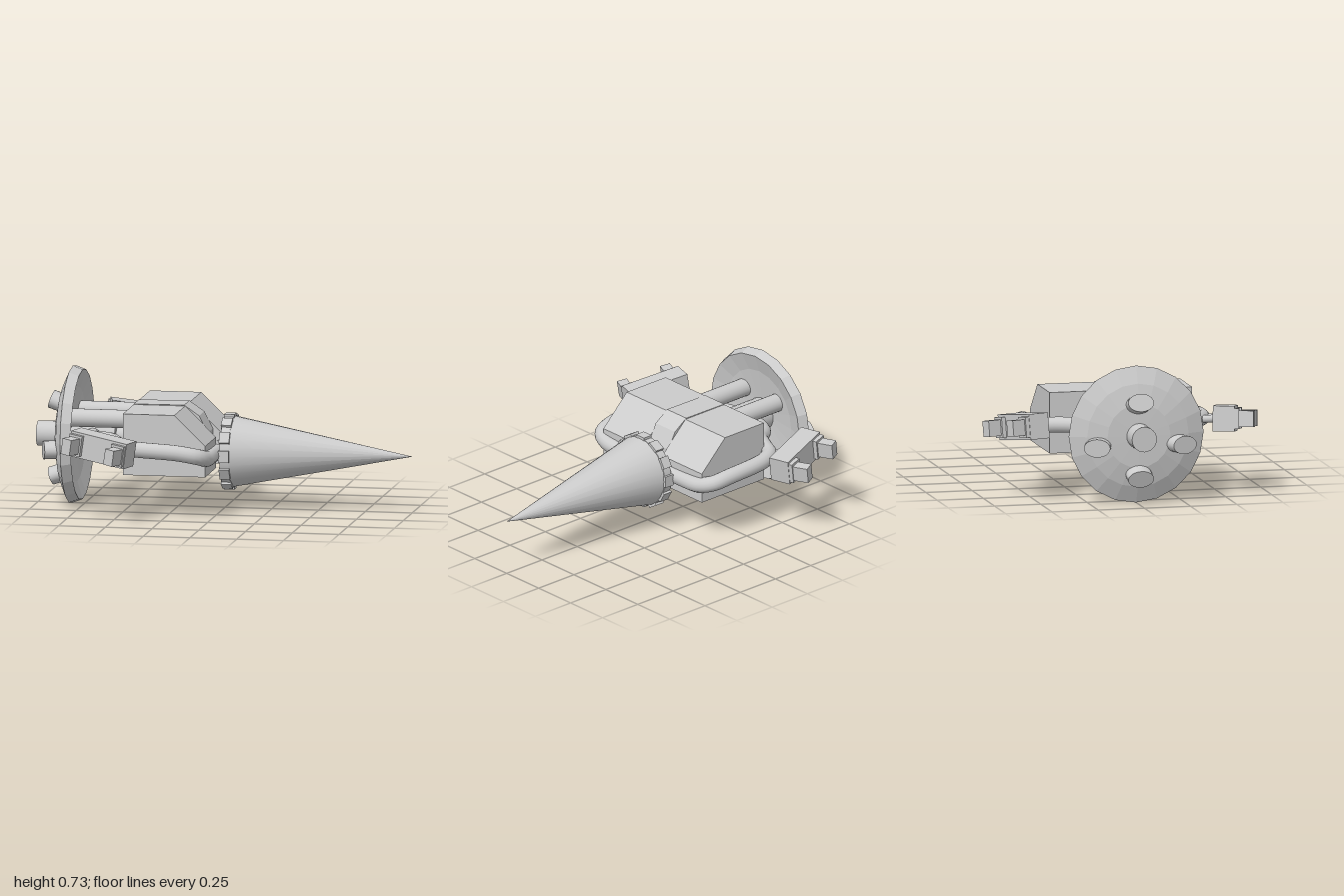
import * as THREE from 'three';

const smooth = new THREE.MeshStandardMaterial({ color: 0xcccccc });
const flat = new THREE.MeshStandardMaterial({ color: 0xcccccc, flatShading: true });

function add(parent, name, geometry, material = flat) {
  const mesh = new THREE.Mesh(geometry, material);
  mesh.name = name;
  parent.add(mesh);
  return mesh;
}

// Cylinder between two points
function rod(parent, name, a, b, r, rEnd = r) {
  const from = new THREE.Vector3(...a), to = new THREE.Vector3(...b);
  const dir = to.clone().sub(from);
  const mesh = add(parent, name, new THREE.CylinderGeometry(rEnd, r, dir.length(), 24), smooth);
  mesh.position.copy(from).add(to).multiplyScalar(0.5);
  mesh.quaternion.setFromUnitVectors(new THREE.Vector3(0, 1, 0), dir.normalize());
  return mesh;
}

// Side profile in x/y extruded from z0 to z1
function slab(parent, name, points, z0, z1) {
  const shape = new THREE.Shape(points.map(p => new THREE.Vector2(...p)));
  const geometry = new THREE.ExtrudeGeometry(shape, { depth: z1 - z0, bevelEnabled: false });
  geometry.translate(0, 0, z0);
  return add(parent, name, geometry);
}

function block(parent, name, size, position, turn = 0) {
  const mesh = add(parent, name, new THREE.BoxGeometry(...size));
  mesh.position.set(...position);
  mesh.rotation.y = turn;
  return mesh;
}

export function createModel() {
  const model = new THREE.Group();
  model.name = 'drillMachine';
  const drillY = 0.305, discY = 0.37;

  // Drill cone and its toothed collar
  rod(model, 'drillCone', [0.05, drillY, 0], [1, drillY, 0], 0.188, 0.0005);
  rod(model, 'drillCollar', [0.004, drillY, 0], [0.052, drillY, 0], 0.191);
  const teeth = new THREE.Group();
  teeth.name = 'collarTeeth';
  teeth.position.y = drillY;
  model.add(teeth);
  for (let i = 0; i < 12; i++) {
    const a = i * Math.PI / 6;
    const tooth = block(teeth, 'collarTooth', [0.055, 0.03, 0.062],
      [0.0275, 0.185 * Math.cos(a), 0.185 * Math.sin(a)]);
    tooth.rotation.x = a;
  }

  // Two body halves around a slightly raised, shorter centre
  const half = [[-0.475, 0.225], [-0.035, 0.225], [-0.035, 0.39], [-0.2, 0.55], [-0.475, 0.55]];
  const centre = [[-0.475, 0.225], [-0.08, 0.225], [-0.08, 0.41], [-0.125, 0.5], [-0.205, 0.555], [-0.475, 0.553]];
  slab(model, 'bodyHalfLeft', half, 0.075, 0.385);
  slab(model, 'bodyHalfRight', half, -0.385, -0.075);
  slab(model, 'bodyCentre', centre, -0.075, 0.075);

  // Shafts joining body, drill and disc
  rod(model, 'rearShaft', [-0.6, discY, 0], [-0.45, discY, 0], 0.048);
  rod(model, 'rearHub', [-0.86, discY, 0], [-0.575, discY, 0], 0.088);

  // Shallow rear dish
  const dishProfile = [[0, -0.885], [0.17, -0.88], [0.275, -0.855], [0.365, -0.815],
    [0.345, -0.762], [0.25, -0.79], [0, -0.82]].map(p => new THREE.Vector2(...p));
  const dish = add(model, 'rearDish', new THREE.LatheGeometry(dishProfile, 20));
  dish.rotation.z = -Math.PI / 2;
  dish.position.y = discY;

  // Exhausts: a round one in the middle and four oval ones around it
  rod(model, 'mainExhaust', [-0.85, discY, 0], [-1, discY, 0], 0.067);
  const exhausts = [[0.17, 0, 0.33, 0], [-0.21, 0, -0.33, 0], [-0.05, 0.225, 0, 0.3], [-0.05, -0.225, 0, -0.3]];
  for (const [y, z, tiltY, tiltZ] of exhausts) {
    const holder = new THREE.Group();
    holder.name = 'smallExhaust';
    holder.position.set(-0.885, discY + y, z);
    holder.rotation.set(0, tiltZ, -tiltY);
    const tube = rod(holder, 'exhaustTube', [0.07, 0, 0], [-0.045, 0, 0], 0.048);
    tube.scale.z = 1.45;
    model.add(holder);
  }

  for (const s of [1, -1]) {
    const side = s > 0 ? 'Left' : 'Right';
    rod(model, 'upperRod' + side, [-0.83, 0.48, s * 0.13], [-0.46, 0.48, s * 0.13], 0.048);
    rod(model, 'driveRod' + side, [-0.1, drillY, s * 0.04], [0.02, drillY, s * 0.04], 0.02);

    // Bent pipe from the collar around the body to the rear hub
    const path = [[-0.035, 0.31, 0.06], [-0.038, 0.31, 0.2], [-0.038, 0.32, 0.36], [-0.07, 0.34, 0.43],
      [-0.17, 0.36, 0.456], [-0.4, 0.375, 0.456], [-0.48, 0.38, 0.42], [-0.52, 0.385, 0.34],
      [-0.57, 0.385, 0.25], [-0.65, 0.38, 0.185], [-0.7, 0.375, 0.06]]
      .map(([x, y, z]) => new THREE.Vector3(x, y, z * s));
    add(model, 'sidePipe' + side,
      new THREE.TubeGeometry(new THREE.CatmullRomCurve3(path), 64, 0.042, 16), smooth);

    // Struts holding the side pod
    rod(model, 'podStrut', [-0.49, 0.38, s * 0.4], [-0.555, 0.39, s * 0.54], 0.02);
    rod(model, 'podStrut', [-0.425, 0.38, s * 0.42], [-0.495, 0.38, s * 0.56], 0.02);

    // Side pod with two stepped lugs on its outer face
    const pod = new THREE.Group();
    pod.name = 'sidePod' + side;
    pod.position.set(-0.555, 0.39, s * 0.545);
    pod.rotation.set(0, -0.29 * s, -0.15, 'YXZ');
    model.add(pod);
    block(pod, 'podBox', [0.33, 0.135, 0.115], [0, 0, 0]);
    for (const e of [1, -1]) {
      block(pod, 'lugBase', [0.075, 0.11, 0.03], [e * 0.125, 0, s * 0.065]);
      block(pod, 'lug', [0.055, 0.085, 0.11], [e * 0.127, 0, s * 0.105], -s * 0.12);
    }
  }
  return model;
}
